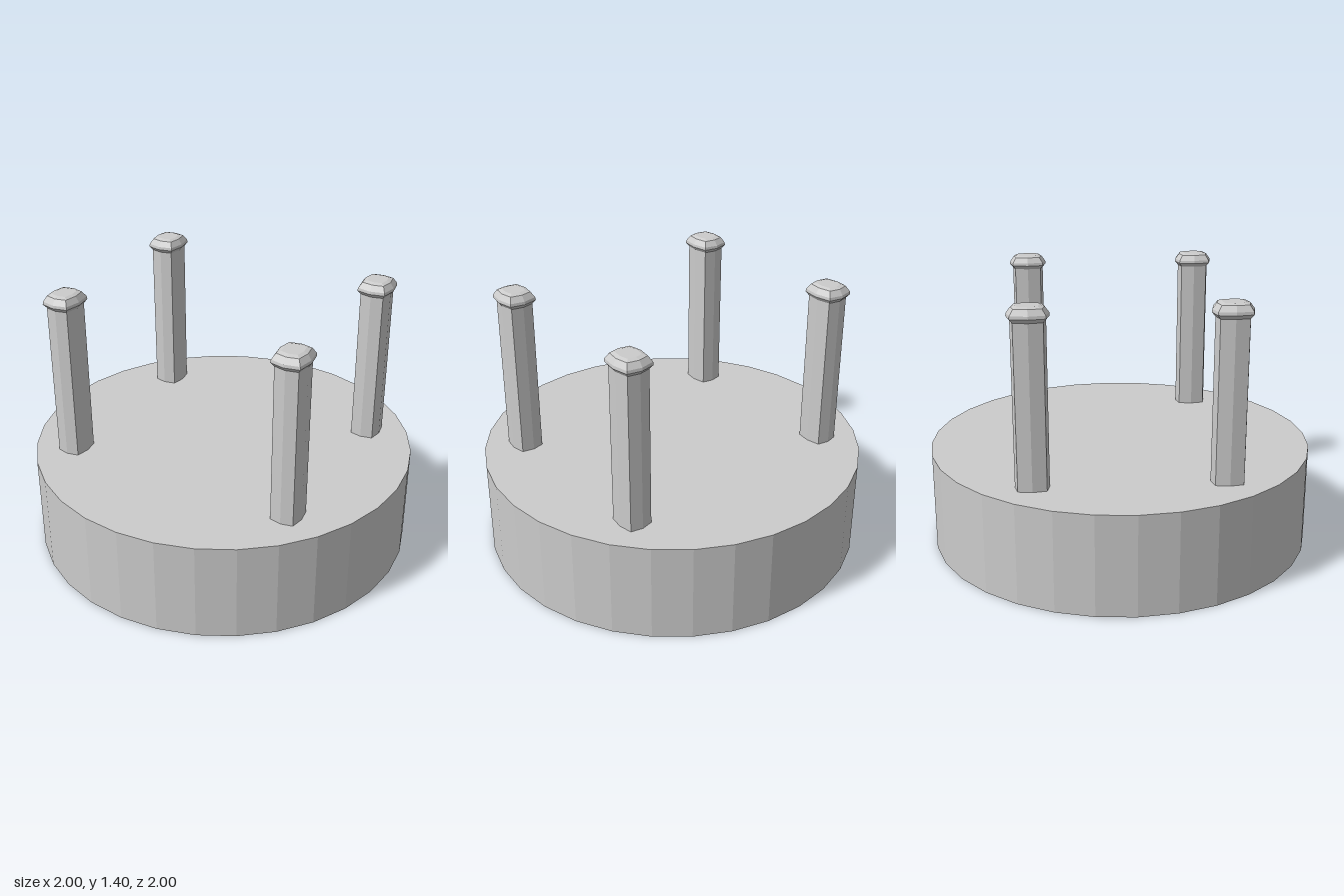
import * as THREE from 'three';

const material = new THREE.MeshStandardMaterial({ color: 0xcccccc, flatShading: true });

// Eight-sided turned part, squared off into a bulging rectangle deeper in z than in x
function squaredLathe(profile) {
  const points = profile.map(([r, y]) => new THREE.Vector2(r, y));
  const geometry = new THREE.LatheGeometry(points, 8);
  const pos = geometry.attributes.position;
  for (let i = 0; i < pos.count; i++) {
    const x = pos.getX(i), z = pos.getZ(i);
    const k = Math.min(Math.abs(x), Math.abs(z)) > 1e-4 ? 1.18 : 1;
    pos.setX(i, x * k);
    pos.setZ(i, z * k * 1.14);
  }
  const flat = geometry.toNonIndexed();
  flat.computeVertexNormals();
  return flat;
}

function addMesh(parent, name, geometry) {
  const mesh = new THREE.Mesh(geometry, material);
  mesh.name = name;
  parent.add(mesh);
  return mesh;
}

export function createModel() {
  const model = new THREE.Group();
  model.name = 'pegBase';

  // Round 32-sided base
  addMesh(model, 'base', new THREE.CylinderGeometry(1, 1, 0.515, 32)).position.y = 0.2575;

  // Shaft and flared, chamfered cap shared by all pegs
  const shaft = squaredLathe([[0.073, 0.5], [0.073, 1.335]]);
  const cap = squaredLathe([
    [0.073, 1.33], [0.088, 1.35], [0.086, 1.365], [0.068, 1.393], [0.048, 1.4], [0, 1.4],
  ]);

  // Four upright pegs
  for (const sx of [-1, 1]) {
    for (const sz of [-1, 1]) {
      const peg = new THREE.Group();
      peg.name = (sz > 0 ? 'front' : 'back') + (sx > 0 ? 'Left' : 'Right') + 'Peg';
      addMesh(peg, 'shaft', shaft);
      addMesh(peg, 'cap', cap);
      peg.position.set(sx * 0.632, 0, sz * 0.47);
      model.add(peg);
    }
  }
  return model;
}
